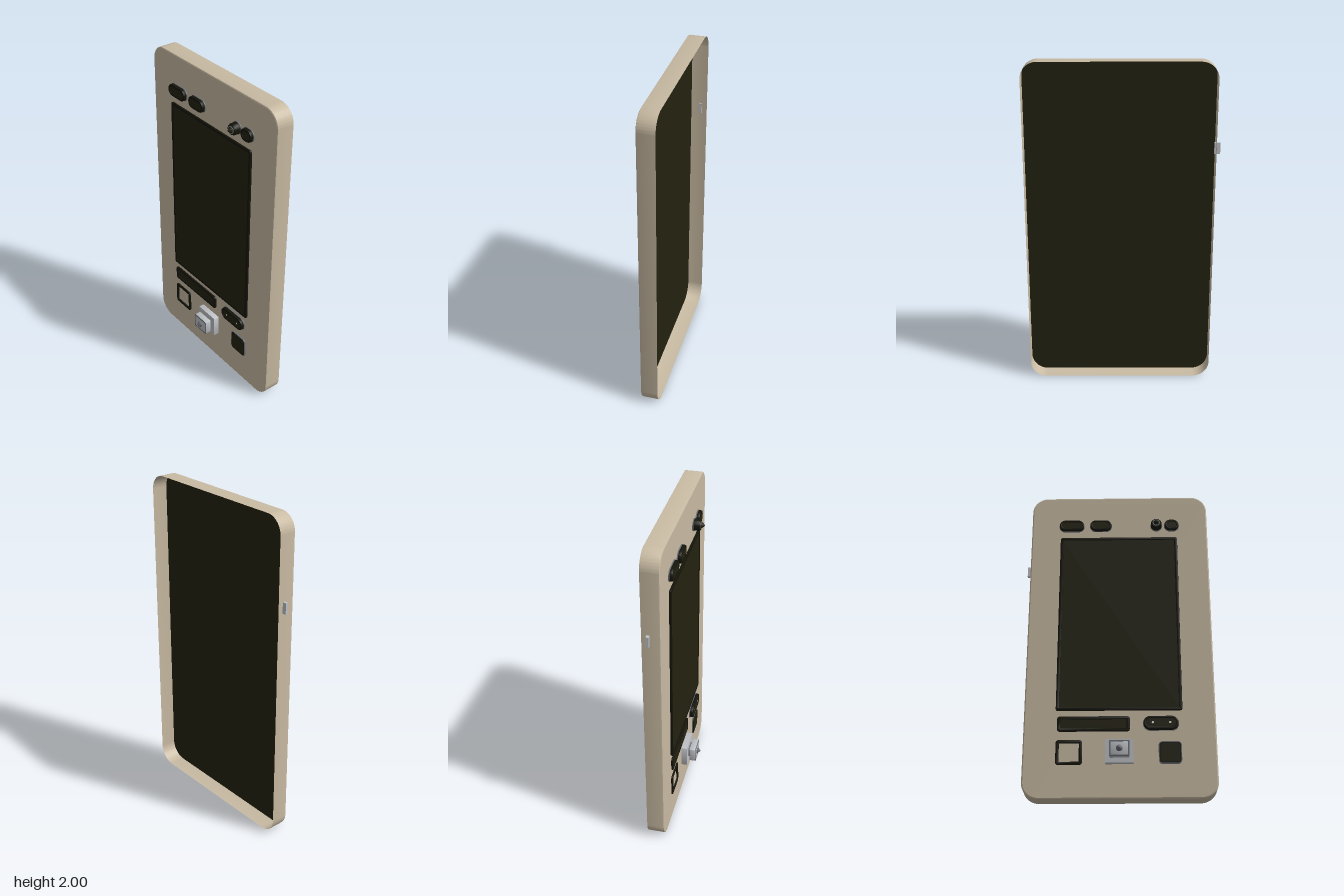
import * as THREE from 'three';
import { toCreasedNormals } from 'three/addons/utils/BufferGeometryUtils.js';

const mat = (name, color, side = THREE.FrontSide) => {
  const m = new THREE.MeshStandardMaterial({ color, side });
  m.name = name;
  return m;
};

// Rounded rectangle centred on the origin
function roundRect(w, h, r, Type = THREE.Shape) {
  const s = new Type(), x = w / 2, y = h / 2;
  s.absarc(x - r, y - r, r, 0, Math.PI / 2);
  s.absarc(-x + r, y - r, r, Math.PI / 2, Math.PI);
  s.absarc(-x + r, -y + r, r, Math.PI, Math.PI * 1.5);
  s.absarc(x - r, -y + r, r, Math.PI * 1.5, Math.PI * 2);
  s.closePath();
  return s;
}

export function createModel() {
  const group = new THREE.Group();
  const beige = mat('beige casing', 0xc9bba3, THREE.DoubleSide);
  const dark = mat('dark glass', 0x232110);
  const black = mat('black trim', 0x15140a);
  const grey = mat('light grey metal', 0xbfc2c6);
  const slate = mat('slate rim', 0x6b7076);
  const white = mat('white indicator', 0xe8e8e4);

  const add = (name, geo, material, x = 0, y = 0, z = 0) => {
    const m = new THREE.Mesh(geo, material);
    m.name = name;
    m.position.set(x, y, z);
    group.add(m);
    return m;
  };

  // Plate given by its edges in x and y, from z0 to z1, with an optional bevelled front and hole
  function slab(name, [x0, x1, y0, y1], r, z0, z1, material, bevel = 0, border = 0) {
    const w = x1 - x0 - 2 * bevel, h = y1 - y0 - 2 * bevel;
    const shape = roundRect(w, h, Math.max(r - bevel, 0.002));
    if (border) {
      const b = 2 * (border - bevel);
      shape.holes.push(roundRect(w - b, h - b, Math.max(r - border, 0.004), THREE.Path));
    }
    const geo = new THREE.ExtrudeGeometry(shape, {
      depth: z1 - z0 - 2 * bevel, bevelEnabled: bevel > 0, bevelSize: bevel,
      bevelThickness: bevel, bevelSegments: 2, curveSegments: 10,
    });
    return add(name, toCreasedNormals(geo, 0.6), material, (x0 + x1) / 2, (y0 + y1) / 2, z0 + bevel);
  }

  // Casing: open-backed thin shell with a softened front edge
  const W = 1.12, H = 2, R = 0.1, cx = 0.012, back = -0.107;
  const sections = [[back, 0], [-0.01, 0], [-0.003, 0.002], [0, 0.008]];
  const pos = [], idx = [];
  let n = 0;
  sections.forEach(([z, inset], k) => {
    const pts = roundRect(W - 2 * inset, H - 2 * inset, R - inset).getPoints(12);
    pts.pop();
    n = pts.length;
    pts.forEach((p, i) => {
      pos.push(p.x, p.y, z);
      if (!k) return;
      const a = (k - 1) * n + i, b = (k - 1) * n + (i + 1) % n;
      idx.push(a, b, b + n, a, b + n, a + n);
    });
  });
  const wall = new THREE.BufferGeometry();
  wall.setAttribute('position', new THREE.Float32BufferAttribute(pos, 3));
  wall.setIndex(idx);
  add('casingWall', toCreasedNormals(wall, 0.6), beige, cx, 1, 0);
  add('casingFront', new THREE.ShapeGeometry(roundRect(W - 0.016, H - 0.016, R - 0.008), 12), beige, cx, 1, 0);
  add('innerPanel', new THREE.ShapeGeometry(roundRect(W - 0.002, H - 0.002, R - 0.001), 12), dark, cx, 1, -0.009)
    .rotation.y = Math.PI;

  // Screen
  slab('screenFrame', [-0.362, 0.378, 0.524, 1.694], 0.012, 0, 0.013, black, 0.003, 0.016);
  slab('screenGlass', [-0.352, 0.368, 0.534, 1.684], 0.005, 0, 0.01, dark);

  // Sensor windows along the top, and the indicator window below
  const pills = [
    ['sensorWindowRight', [-0.373, -0.212, 1.742, 1.82]],
    ['sensorWindowMiddle', [-0.177, -0.037, 1.742, 1.82]],
    ['sensorWindowLeft', [0.297, 0.392, 1.742, 1.82]],
    ['indicatorWindow', [0.147, 0.356, 0.4, 0.487]],
  ];
  for (const [name, e] of pills) {
    const r = (e[3] - e[2]) / 2 - 0.001;
    slab(name + 'Rim', e, r, 0, 0.006, slate);
    const inner = e.map((v, i) => v + (i % 2 ? -0.003 : 0.003));
    slab(name + 'Surround', inner, r - 0.003, 0, 0.025, black, 0.004, 0.011);
    slab(name, inner.map((v, i) => v + (i % 2 ? -0.008 : 0.008)), r - 0.011, 0, 0.023, dark);
  }
  for (const x of [0.204, 0.304]) {
    add('indicatorDot', new THREE.CircleGeometry(0.007, 12), white, x, 0.444, 0.0245);
  }

  // Camera: barrel tapering to a pointed lens
  const lathe = (name, profile, material, x, y, z) => {
    const pts = profile.map(([r, h]) => new THREE.Vector2(r, h));
    const geo = toCreasedNormals(new THREE.LatheGeometry(pts, 24), 0.5);
    add(name, geo, material, x, y, z).rotation.x = Math.PI / 2;
  };
  lathe('cameraRim', [[0.038, 0], [0.038, 0.006], [0, 0.006]], slate, 0.247, 1.781, 0);
  lathe('cameraBarrel', [[0.035, 0], [0.034, 0.035], [0.029, 0.045], [0, 0.045]], black, 0.247, 1.781, 0);
  lathe('cameraRing', [[0.023, 0], [0.023, 0.003], [0.017, 0.003]], slate, 0.247, 1.781, 0.045);
  lathe('cameraLens', [[0.018, 0], [0.016, 0.006], [0.005, 0.02], [0, 0.022]], dark, 0.247, 1.781, 0.045);

  // Bar-shaped slot
  slab('slotFrame', [-0.352, 0.071, 0.396, 0.488], 0.018, 0, 0.012, black, 0.003, 0.016);
  slab('slotCover', [-0.342, 0.061, 0.406, 0.478], 0.008, 0, 0.009, dark);

  // Open square frame
  slab('readerFrame', [-0.357, -0.204, 0.196, 0.345], 0.018, 0, 0.01, black, 0.003, 0.016);

  // Fingerprint pad
  slab('padRim', [0.235, 0.368, 0.201, 0.334], 0.022, 0, 0.008, slate);
  slab('padSurround', [0.24, 0.363, 0.206, 0.329], 0.018, 0, 0.01, black);
  slab('pad', [0.248, 0.355, 0.214, 0.321], 0.01, 0, 0.011, dark);

  // Metal block standing off its base plate, with a pointed nub
  slab('blockBase', [-0.071, 0.092, 0.201, 0.34], 0.004, 0, 0.035, grey);
  slab('blockStem', [-0.025, 0.048, 0.24, 0.3], 0.004, 0.03, 0.05, slate);
  slab('block', [-0.047, 0.068, 0.224, 0.317], 0.006, 0.045, 0.086, grey, 0.004);
  slab('blockFaceLine', [-0.047, 0.068, 0.224, 0.317], 0.005, 0.083, 0.0865, slate, 0, 0.008);
  lathe('blockNub', [[0.019, 0], [0.018, 0.005], [0.006, 0.018], [0, 0.021]], slate, 0.0105, 0.27, 0.086);

  // Button through the right side wall
  add('sideButton', new THREE.BoxGeometry(0.034, 0.067, 0.016), grey, -0.555, 1.49, -0.069);

  return group;
}
